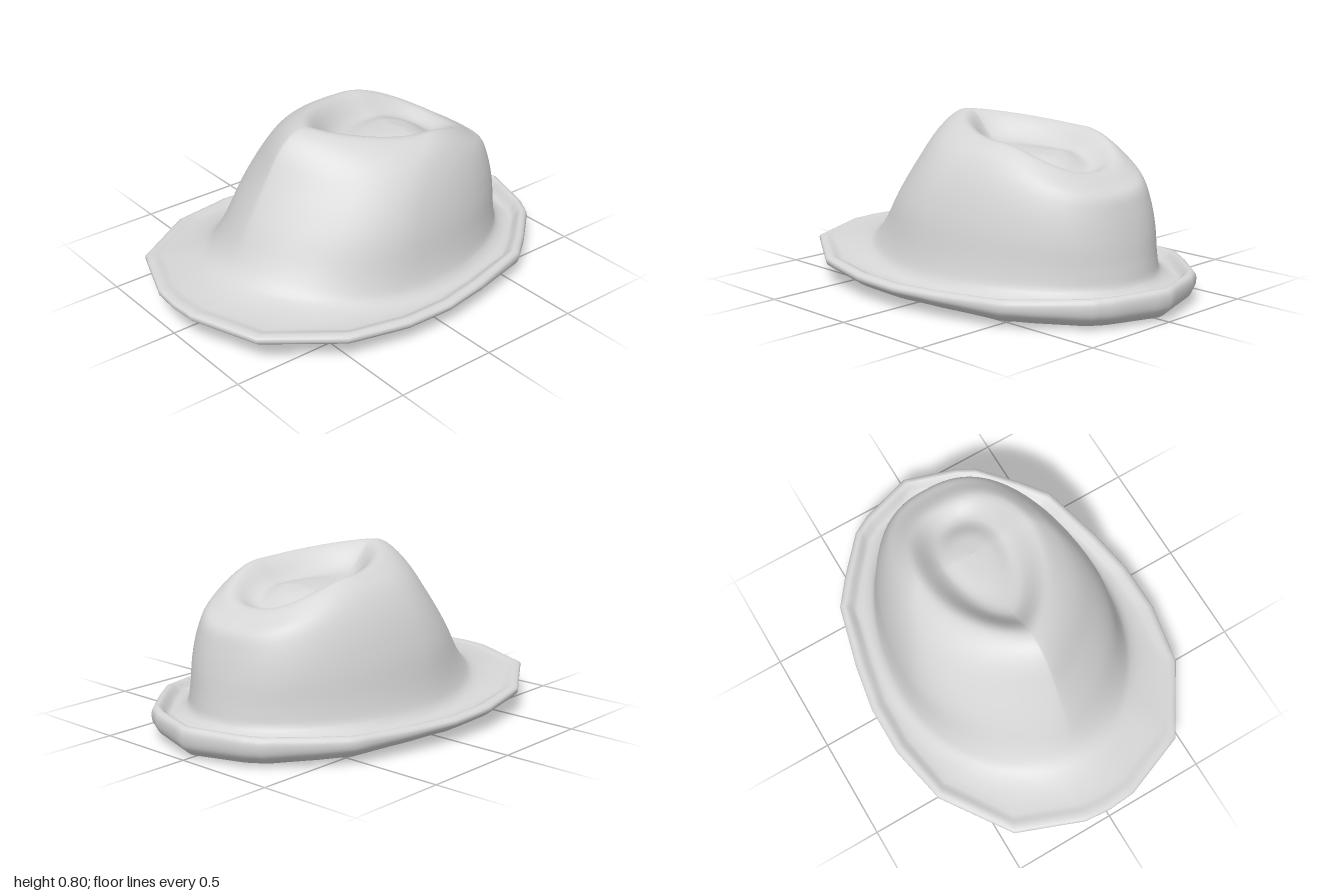
import * as THREE from 'three';

const SEG = 4;    // columns per outline segment
const STEPS = 4;  // spline steps between profile rings

// Outer brim outline, front to back, one half (x, z)
const RIM = [[0, 0.995], [0.13, 0.985], [0.45, 0.86], [0.67, 0.53], [0.73, 0.23], [0.73, -0.02],
  [0.69, -0.25], [0.61, -0.56], [0.51, -0.69], [0.35, -0.87], [0.26, -0.92], [0, -1]];
const HALF = (RIM.length - 1) * SEG;
const COLS = HALF * 2;

// Height eased from the side value to the front (c = 1) or back (c = -1)
const blend = (c, front, side, back) =>
  THREE.MathUtils.lerp(side, c > 0 ? front : back, Math.pow(Math.abs(c), 1.5));

// Egg-shaped ring; pinch above 1 sharpens the front and squares the back
function oval(w, zc, zf, zb, yf, ys, yb, pinch = 1) {
  return Array.from({ length: COLS }, (_, j) => {
    const t = j / COLS * Math.PI * 2;
    const c = Math.cos(t), s = Math.sin(t);
    const power = c > 0 ? pinch : Math.pow(pinch, -0.5);
    const x = w * Math.sign(s) * Math.pow(Math.abs(s), power);
    const z = zc + (c > 0 ? zf - zc : zc - zb) * c;
    return new THREE.Vector3(x, blend(c, yf, ys, yb), z);
  });
}

// Ring following the faceted brim outline, moved inward by d
function rim(d, yf, ys, yb) {
  return Array.from({ length: COLS }, (_, j) => {
    const k = (j <= HALF ? j : COLS - j) / SEG;
    const i = Math.min(Math.floor(k), RIM.length - 2), f = k - i;
    const x = THREE.MathUtils.lerp(RIM[i][0], RIM[i + 1][0], f) * (j <= HALF ? 1 : -1);
    const z = THREE.MathUtils.lerp(RIM[i][1], RIM[i + 1][1], f);
    const scale = 1 - d / Math.hypot(x, z);
    return new THREE.Vector3(x * scale, blend(z, yf, ys, yb), z * scale);
  });
}

// Spline each column through the rings and skin the result
function loft(rings) {
  const rows = (rings.length - 1) * STEPS + 1;
  const positions = new Float32Array(rows * COLS * 3);
  for (let j = 0; j < COLS; j++) {
    const curve = new THREE.CatmullRomCurve3(rings.map(r => r[j]), false, 'centripetal');
    for (let i = 0; i < rows; i++) {
      curve.getPoint(i / (rows - 1)).toArray(positions, (i * COLS + j) * 3);
    }
  }
  const geometry = new THREE.BufferGeometry();
  geometry.setAttribute('position', new THREE.BufferAttribute(positions, 3));
  geometry.setIndex(gridIndex(rows));
  geometry.computeVertexNormals();
  return geometry;
}

function gridIndex(rows) {
  const index = [];
  for (let i = 0; i < rows - 1; i++) {
    for (let j = 0; j < COLS; j++) {
      const k = (j + 1) % COLS;
      const a = i * COLS + j, b = a + COLS, c = i * COLS + k, d = c + COLS;
      index.push(a, b, c, c, b, d);
    }
  }
  return index;
}

// Cut a band of rings out of the skin, keeping its smooth normals
function band(skin, from, to) {
  const start = from * STEPS, end = to * STEPS + 1;
  const geometry = new THREE.BufferGeometry();
  for (const name of ['position', 'normal']) {
    const part = skin.getAttribute(name).array.slice(start * COLS * 3, end * COLS * 3);
    geometry.setAttribute(name, new THREE.BufferAttribute(part, 3));
  }
  geometry.setIndex(gridIndex(end - start));
  return geometry;
}

export function createModel() {
  const group = new THREE.Group();
  group.name = 'hat';
  const felt = new THREE.MeshStandardMaterial({ color: 0xd6d6d6 });
  felt.name = 'light grey felt';
  felt.side = THREE.DoubleSide;

  // Crown: teardrop dent, ridge around it, then the flaring wall
  const crown = [
    oval(0, -0.27, -0.27, -0.27, 0.665, 0.665, 0.665),
    oval(0.08, -0.27, -0.15, -0.38, 0.665, 0.66, 0.64),
    oval(0.15, -0.28, 0.02, -0.46, 0.665, 0.645, 0.59, 1.3),
    oval(0.19, -0.28, 0.1, -0.5, 0.69, 0.665, 0.585, 1.4),
    oval(0.28, -0.26, 0.22, -0.58, 0.8, 0.738, 0.61, 1.5),
    oval(0.35, -0.2, 0.31, -0.67, 0.793, 0.715, 0.56, 1.6),
    oval(0.41, -0.12, 0.385, -0.725, 0.735, 0.66, 0.525, 1.62),
    oval(0.47, -0.05, 0.47, -0.755, 0.6, 0.555, 0.45, 1.55),
    oval(0.52, 0, 0.567, -0.785, 0.43, 0.4, 0.33, 1.35),
    oval(0.55, 0, 0.66, -0.808, 0.255, 0.22, 0.2, 1.08),
  ];
  // Brim: flat, rolled edge, underside and head opening
  const brim = [
    oval(0.575, 0, 0.735, -0.828, 0.19, 0.14, 0.13),
    rim(0.08, 0.16, 0.1, 0.1),
    rim(0.03, 0.165, 0.122, 0.15),
    rim(0, 0.158, 0.108, 0.135),
    rim(0, 0.135, 0.088, 0.07),
    rim(0.03, 0.118, 0.062, 0.03),
    rim(0.1, 0.115, 0.033, 0.003),
    oval(0.54, 0, 0.64, -0.77, 0.11, 0.07, 0.1, 1.12),
  ];
  // Lining: the hollow inside of the crown, with a crisp lower edge
  const lining = [
    brim[brim.length - 1],
    oval(0.53, 0, 0.61, -0.78, 0.25, 0.215, 0.2, 1.12),
    oval(0.5, 0, 0.54, -0.76, 0.42, 0.39, 0.325, 1.35),
    oval(0.45, -0.05, 0.44, -0.73, 0.585, 0.545, 0.44, 1.55),
    oval(0.38, -0.12, 0.35, -0.69, 0.69, 0.635, 0.51, 1.62),
    oval(0.15, -0.28, 0.02, -0.46, 0.645, 0.625, 0.565, 1.3),
    oval(0, -0.27, -0.27, -0.27, 0.645, 0.645, 0.645),
  ];

  const shell = loft([...crown, ...brim]);
  const parts = {
    crown: band(shell, 0, crown.length),
    brim: band(shell, crown.length, crown.length + brim.length - 1),
    lining: loft(lining),
  };
  for (const [name, geometry] of Object.entries(parts)) {
    const mesh = new THREE.Mesh(geometry, felt);
    mesh.name = name;
    group.add(mesh);
  }
  return group;
}
